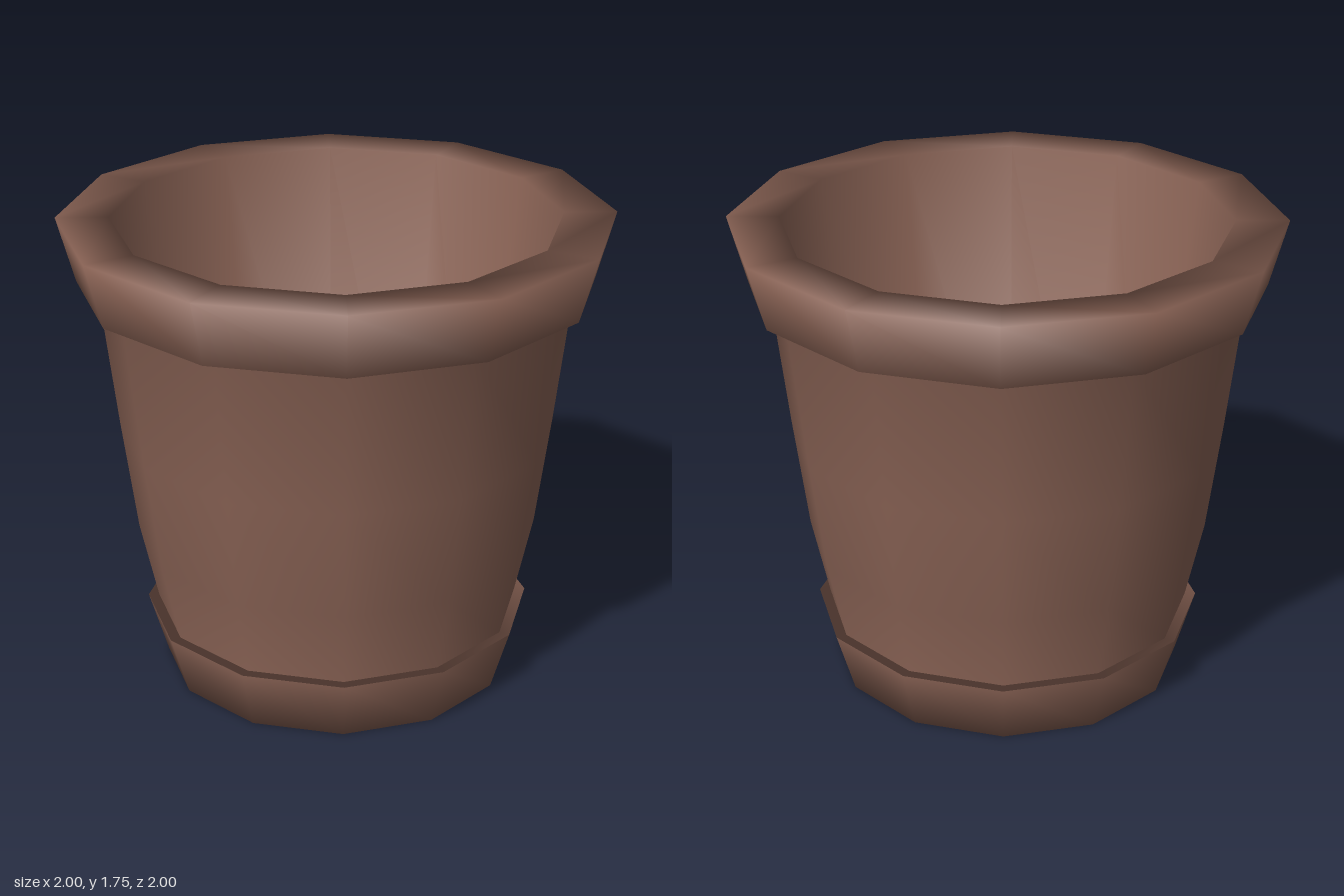
import * as THREE from 'three';

export function createModel() {
  const model = new THREE.Group();
  model.name = 'flowerPot';

  const terracotta = new THREE.MeshStandardMaterial({ color: 0x8a6355 });
  terracotta.name = 'terracotta brown';

  // Radius and height, from the underside up the outside and down the hollow
  const profile = [
    [0, 0], [0.65, 0], [0.72, 0.235],               // base band
    [0.68, 0.235], [0.745, 0.53], [0.80, 0.95], [0.865, 1.51], // bulging wall
    [0.935, 1.51], [1, 1.75],                       // rim
    [0.81, 1.75], [0.61, 0.18], [0, 0.18],          // lip, inner wall, floor
  ].map(([r, y]) => new THREE.Vector2(r, y));

  // Twelve-sided turned body with smooth normals
  const pot = new THREE.Mesh(new THREE.LatheGeometry(profile, 12), terracotta);
  pot.name = 'pot';
  model.add(pot);

  return model;
}
